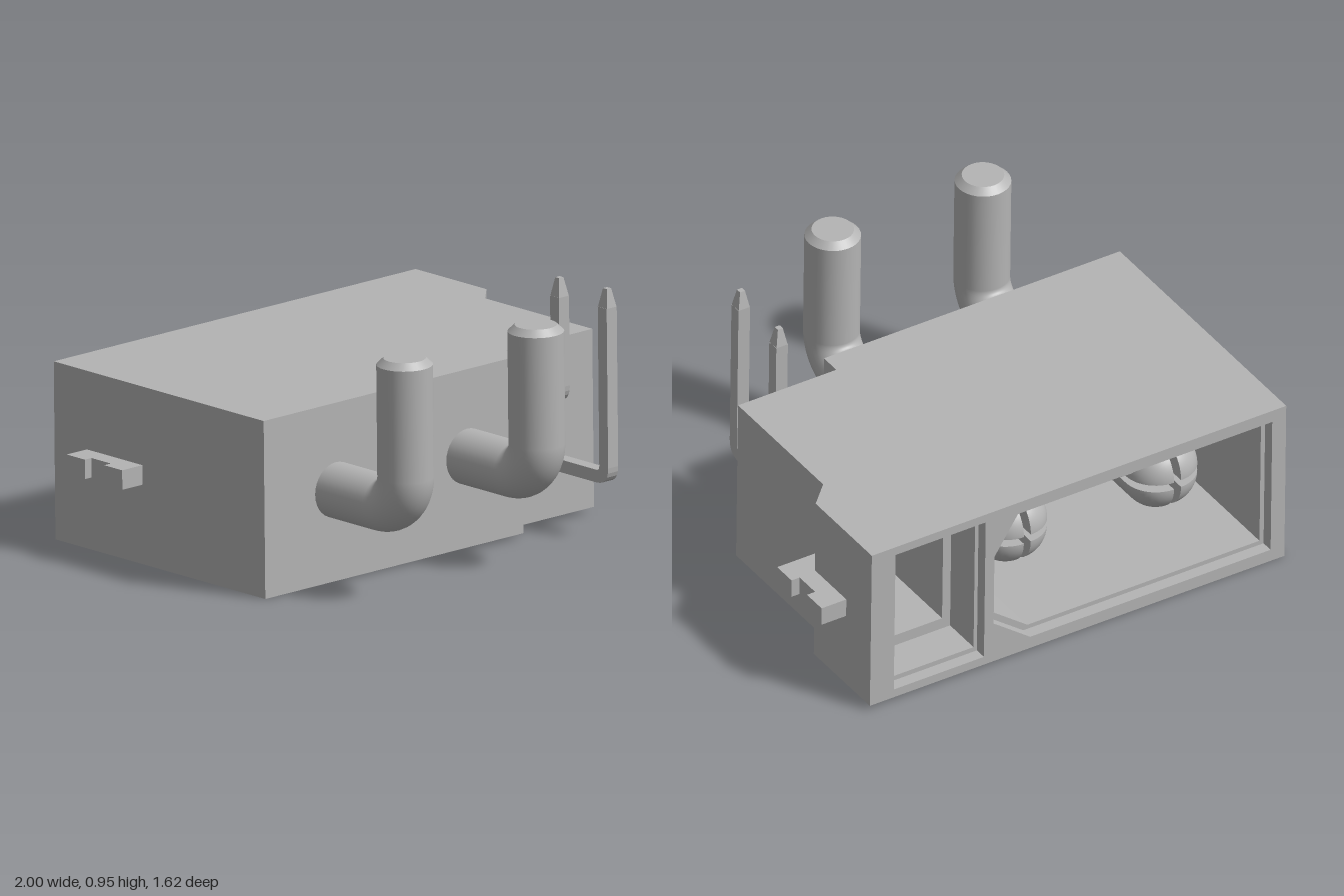
import * as THREE from 'three';

export function createModel() {
  const grey = new THREE.MeshStandardMaterial({ color: 0xb4b4b4, side: THREE.DoubleSide });
  grey.name = 'plain grey';

  const model = new THREE.Group();
  model.name = 'connector';
  // The whole part sits very slightly askew
  const tilted = new THREE.Group();
  tilted.name = 'tiltedConnector';
  tilted.position.y = 0.012;
  tilted.rotation.set(0, 0.005, 0.0125);
  model.add(tilted);

  const add = (name, geo, x = 0, y = 0, z = 0, parent = tilted) => {
    const mesh = new THREE.Mesh(geo, grey);
    mesh.name = name;
    mesh.position.set(x, y, z);
    parent.add(mesh);
    return mesh;
  };
  const toShape = pts => new THREE.Shape(pts.map(p => new THREE.Vector2(...p)));
  const rect = (x0, x1, y0, y1) => [[x0, y0], [x1, y0], [x1, y1], [x0, y1]];
  // Outline in x, y extruded from z0 to z1, with holes
  const slab = (name, outline, holes, z0, z1) => {
    const shape = toShape(outline);
    shape.holes = holes.map(toShape);
    add(name, new THREE.ExtrudeGeometry(shape, { depth: z1 - z0, bevelEnabled: false }), 0, 0, z0);
  };
  // Outline in x, z extruded from y0 to y1
  const plan = (name, outline, y0, y1) => {
    const geo = new THREE.ExtrudeGeometry(toShape(outline), { depth: y1 - y0, bevelEnabled: false });
    add(name, geo.rotateX(Math.PI / 2), 0, y1, 0);
  };
  const shrink = (pts, m) => pts.map(([x, y]) => [x + (x > -0.24 ? -m : m), y + (y > 0.33 ? -m : m)]);

  // Housing: shell layers open at the back, closed by front plates
  const H = 0.675;
  const outer = rect(-0.9, 0.805, 0, H);
  const mouth = [[0.36, 0.47], [0.36, 0.17], [0.2, 0.05], [-0.84, 0.05], [-0.84, 0.625], [0.26, 0.625]];
  const cavity = shrink(mouth, 0.018);
  slab('housingRim', outer, [mouth, rect(0.4, 0.79, 0.035, 0.64)], -0.808, -0.76);
  slab('housingMiddle', outer, [cavity, rect(0.415, 0.76, 0.055, 0.62)], -0.76, -0.6);
  slab('housingShell', outer, [cavity, rect(0.45, 0.72, 0.1, 0.575)], -0.6, 0.15);
  slab('frontWall', outer, [], 0.15, 0.243);
  slab('frontStep', rect(-0.9, 0.38, 0, H), [], 0.243, 0.327);
  plan('sideFlare', [[0.805, -0.808], [0.893, -0.808], [0.893, -0.425], [0.805, -0.337]], 0, H);
  add('keyRib', new THREE.BoxGeometry(0.05, 0.06, 0.88), -0.26, 0.59, -0.295);

  // Notched side tabs
  plan('rightTab', [[-0.89, -0.633], [-1, -0.633], [-1, -0.535], [-0.967, -0.535],
    [-0.967, -0.43], [-1, -0.43], [-1, -0.333], [-0.89, -0.333]], 0.302, 0.376);
  plan('leftTab', [[0.8, -0.64], [1, -0.64], [1, -0.54], [0.965, -0.54],
    [0.965, -0.435], [1, -0.435], [1, -0.337], [0.8, -0.337]], 0.302, 0.376);

  // Heavy bent pins with slotted round contacts in the cavity
  const axisY = 0.346, pinR = 0.104, bendR = 0.125, pinZ = 0.705, topY = 0.922;
  const profile = [[0, 0], [0.128, 0]];
  for (let i = 0; i <= 12; i++) {
    const a = (i / 12) * Math.PI / 2;
    profile.push([0.128 * Math.cos(a), 0.3 + 0.128 * Math.sin(a)]);
  }
  const profilePts = profile.map(p => new THREE.Vector2(...p));
  [-0.545, 0.105].forEach((x, n) => {
    const pin = new THREE.Group();
    pin.name = n ? 'leftPowerPin' : 'rightPowerPin';
    pin.position.set(x, axisY, 0);
    tilted.add(pin);

    const bendZ = pinZ - bendR, upper = topY - axisY;
    const run = new THREE.CylinderGeometry(pinR, pinR, bendZ - 0.15, 32).rotateX(Math.PI / 2);
    add('pinRun', run, 0, 0, (bendZ + 0.15) / 2, pin);
    const bend = new THREE.TorusGeometry(bendR, pinR, 32, 16, Math.PI / 2);
    add('pinBend', bend.rotateZ(-Math.PI / 2).rotateY(-Math.PI / 2), 0, bendR, bendZ, pin);
    const stem = upper - 0.025 - bendR;
    add('pinStem', new THREE.CylinderGeometry(pinR, pinR, stem, 32), 0, bendR + stem / 2, pinZ, pin);
    add('pinTip', new THREE.CylinderGeometry(0.078, pinR, 0.025, 32), 0, upper - 0.0125, pinZ, pin);

    const shaft = new THREE.CylinderGeometry(0.14, 0.14, 0.37, 32).rotateX(Math.PI / 2);
    add('contactShaft', shaft, 0, 0, -0.025, pin);
    const contact = new THREE.Group();
    contact.name = 'slottedContact';
    contact.position.z = -0.205;
    contact.rotation.x = -Math.PI / 2;
    pin.add(contact);
    for (let i = 0; i < 4; i++) {
      const finger = new THREE.Group();
      finger.name = 'contactFinger';
      finger.rotation.y = i * Math.PI / 2;
      contact.add(finger);
      const g = 0.015;
      add('fingerSkin', new THREE.LatheGeometry(profilePts.slice(1), 10, 0, Math.PI / 2), g, 0, g, finger);
      const face = new THREE.ShapeGeometry(new THREE.Shape(profilePts));
      add('fingerFace', face.clone().rotateY(Math.PI).scale(-1, 1, 1), g, 0, g, finger);
      add('fingerFace', face.rotateY(-Math.PI / 2), g, 0, g, finger);
    }
  });

  // Thin bent signal pins: rounded L shape in z, y with a tapered point
  const signalPin = (name, zOut, yLow, yTop) => {
    const t = 0.048, r = 0.065, w = 0.05, yTip = yTop - 0.07;
    const s = new THREE.Shape();
    s.moveTo(0.2, yLow);
    s.lineTo(zOut - r, yLow);
    s.quadraticCurveTo(zOut, yLow, zOut, yLow + r);
    s.lineTo(zOut, yTip);
    s.lineTo(zOut - t, yTip);
    s.lineTo(zOut - t, yLow + r);
    s.quadraticCurveTo(zOut - t, yLow + t, zOut - r, yLow + t);
    s.lineTo(0.2, yLow + t);
    s.closePath();
    const geo = new THREE.ExtrudeGeometry(s, { depth: w, bevelEnabled: false, curveSegments: 6 });
    add(name, geo.rotateY(-Math.PI / 2), 0.602 + w / 2, 0, 0);
    const tip = new THREE.CylinderGeometry(0.015, t / Math.SQRT2, 0.07, 4).toNonIndexed();
    tip.rotateY(Math.PI / 4).computeVertexNormals();
    add(name + 'Point', tip, 0.602, yTop - 0.035, zOut - t / 2);
  };
  signalPin('longSignalPin', 0.572, 0.19, 0.93);
  signalPin('shortSignalPin', 0.314, 0.445, 0.92);

  return model;
}
